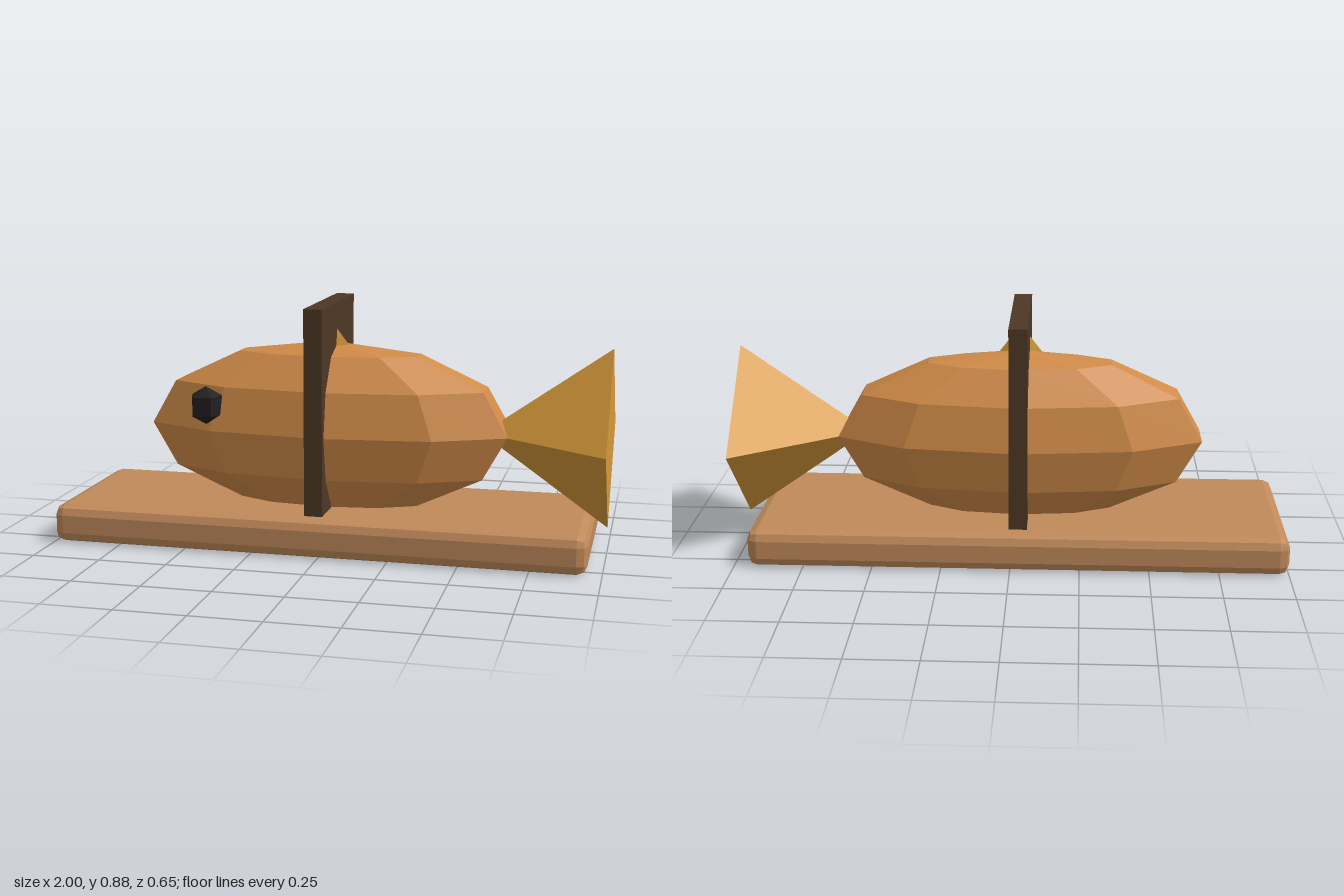
import * as THREE from 'three';
import { RoundedBoxGeometry } from 'three/addons/geometries/RoundedBoxGeometry.js';

const material = (name, color) => {
  const m = new THREE.MeshStandardMaterial({ color, flatShading: true });
  m.name = name;
  return m;
};

export function createModel() {
  const boardWood = material('board wood', 0xc08a5a);
  const bodyOrange = material('body orange', 0xd08b48);
  const finGold = material('fin gold', 0xd6993a);
  const darkWood = material('dark wood', 0x4e3725);
  const eyeBlack = material('eye black', 0x231d1e);

  const model = new THREE.Group();
  model.name = 'mountedFish';
  const add = (name, geometry, mat, x, y, z) => {
    const mesh = new THREE.Mesh(geometry, mat);
    mesh.name = name;
    mesh.position.set(x, y, z);
    model.add(mesh);
  };

  // Chamfered base board
  add('baseBoard', new RoundedBoxGeometry(1.95, 0.14, 0.65, 1, 0.037), boardWood, -0.025, 0.07, 0);

  // Faceted body, with a pair of facets at nose and tail
  const body = new THREE.SphereGeometry(1, 10, 6).rotateY(-Math.PI / 2).scale(0.7, 0.32, 0.235);
  add('body', body, bodyOrange, -0.025, 0.42, 0);

  // Upright plate through the middle
  add('uprightPlate', new THREE.BoxGeometry(0.066, 0.755, 0.512), darkWood, -0.027, 0.5075, 0);

  // Pyramid tail, opening away from the body
  const tail = new THREE.ConeGeometry(0.325, 0.46, 4).rotateZ(Math.PI / 2);
  add('tail', tail, finGold, 0.77, 0.42, 0);

  // Small fin on the back, its tip inside the plate
  const fin = new THREE.ConeGeometry(1, 0.13, 4).scale(0.1, 1, 0.03);
  add('backFin', fin, finGold, -0.027, 0.765, 0.018);

  // Single eye on the front side
  const eye = new THREE.SphereGeometry(0.07, 5, 3).rotateY(-Math.PI / 2);
  add('eye', eye, eyeBlack, -0.445, 0.515, 0.186);

  return model;
}
